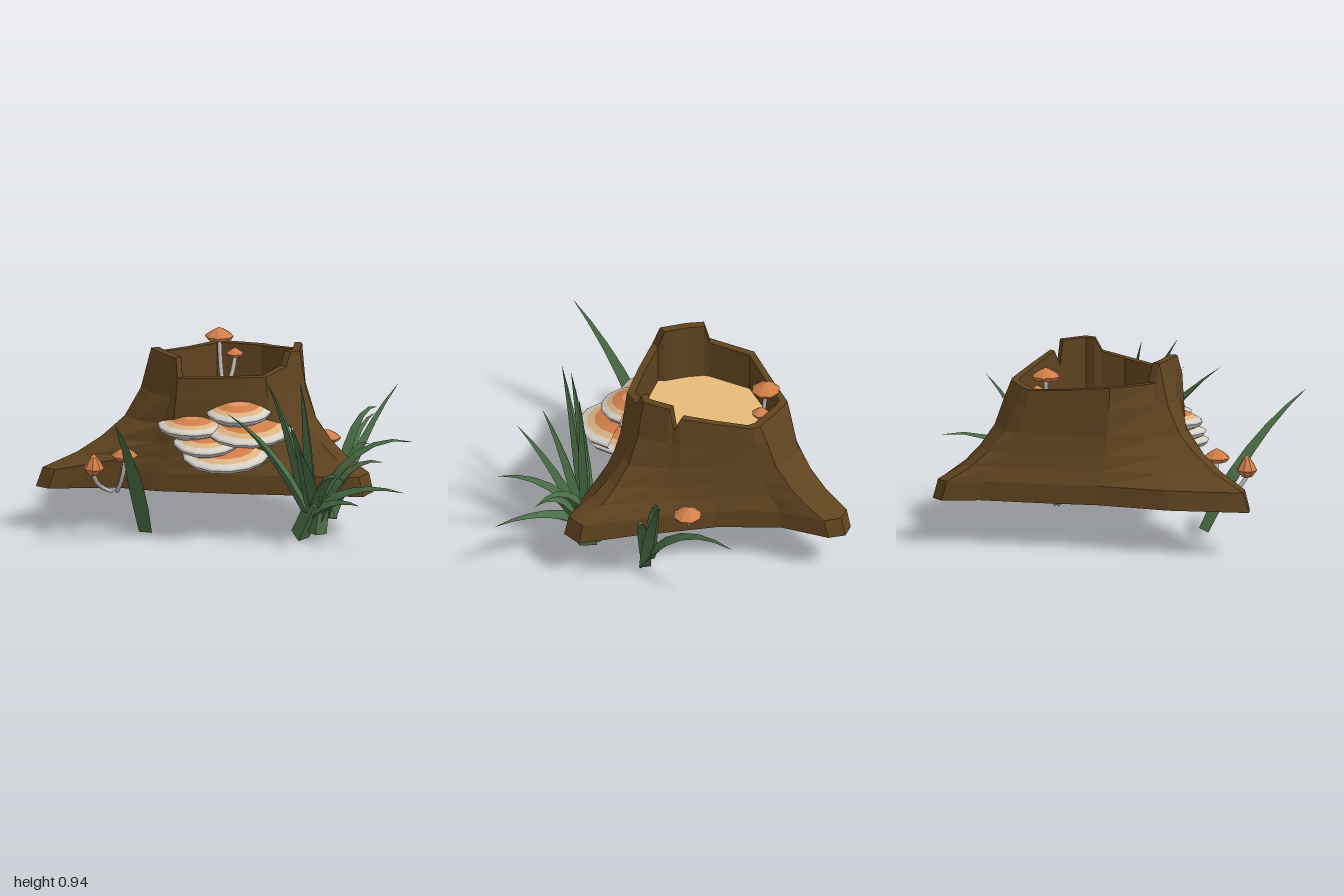
import * as THREE from 'three';

const mat = (name, color) => {
  const m = new THREE.MeshStandardMaterial({ color });
  m.name = name;
  return m;
};
const V = (x, y, z) => new THREE.Vector3(x, y, z);
const lerp = THREE.MathUtils.lerp;

// Flat-faced skin over a list of rings with equal point counts
function loft(rings) {
  const pos = [];
  const tri = (a, b, c) => {
    const area = b.clone().sub(a).cross(c.clone().sub(a)).length();
    if (area > 1e-8) for (const p of [a, b, c]) pos.push(p.x, p.y, p.z);
  };
  for (let r = 0; r < rings.length - 1; r++) {
    const lo = rings[r], hi = rings[r + 1], n = lo.length;
    for (let i = 0; i < n; i++) {
      const j = (i + 1) % n;
      tri(lo[i], lo[j], hi[j]);
      tri(lo[i], hi[j], hi[i]);
    }
  }
  const g = new THREE.BufferGeometry();
  g.setAttribute('position', new THREE.Float32BufferAttribute(pos, 3));
  g.computeVertexNormals();
  return g;
}

// Faceted lathe made of [r, y] profile points, listed from below to the top
function facetedLathe(points, sides, start = 0, sweep = Math.PI * 2) {
  const profile = points.map(p => new THREE.Vector2(...p));
  const g = new THREE.LatheGeometry(profile, sides, start, sweep).toNonIndexed();
  g.computeVertexNormals();
  return g;
}

export function createModel() {
  const model = new THREE.Group();
  const bark = mat('bark brown', 0x5f431f);
  const wood = mat('cut wood tan', 0xe7ba79);
  const green = mat('grass green', 0x4a6f46);
  const orange = mat('cap orange', 0xd17e49);
  const peach = mat('shelf peach', 0xdc9462);
  const sand = mat('shelf sand', 0xdcb483);
  const cream = mat('shelf cream', 0xd6d0c4);
  const grey = mat('gill grey', 0xc4c1be);

  const add = (parent, name, geometry, material) => {
    const m = new THREE.Mesh(geometry, material);
    m.name = name;
    parent.add(m);
    return m;
  };

  // Stump columns: base x, base z, rim x, rim z, rim height
  const columns = [
    [-1, .35, -.425, .12, .95], [-.93, .39, -.37, .2, .95], [-.58, .33, -.275, .3, .95],
    [-.36, .37, -.262, .335, .85], [0, .375, -.03, .3, .85], [.3, .37, .19, .255, .85],
    [.5, .365, .285, .15, .88], [.71, .355, .3, .115, .95], [.75, .25, .345, .08, .95],
    [.54, 0, .34, -.07, .95], [.5, -.06, .335, -.09, .82], [.43, -.15, .33, -.13, .9],
    [.3, -.32, .24, -.29, .86], [.15, -.62, .14, -.45, .82], [.12, -.88, .1, -.475, .82],
    [.06, -.95, 0, -.49, .82], [-.02, -.94, -.1, -.505, .82], [-.1, -.76, -.16, -.5, .82],
    [-.31, -.5, -.29, -.34, .83], [-.48, -.27, -.43, -.17, .85], [-.76, 0, -.432, .09, .85],
  ];
  // Root flare: inward fraction, height above the base
  const flare = [[0, 0], [.06, .1], [.36, .17], [.57, .245], [.77, .345], [.91, .49]];
  const BASE = .25, FLOOR = .635, CX = -.05, CZ = -.09, INNER = .9;
  const flareRings = flare.map(([f, y]) =>
    columns.map(([bx, bz, tx, tz]) => V(lerp(bx, tx, f), BASE + y, lerp(bz, tz, f))));
  const rim = columns.map(c => V(c[2], c[4], c[3]));
  const inset = y => columns.map(c => V(lerp(CX, c[2], INNER), y ?? c[4], lerp(CZ, c[3], INNER)));
  const middle = (x, y, z) => columns.map(() => V(x, y, z));
  add(model, 'stump', loft([middle(0, BASE, 0), ...flareRings, rim, inset(), inset(FLOOR)]), bark);
  add(model, 'cutWood', loft([inset(FLOOR), middle(CX, FLOOR, CZ)]), wood);

  // Half-round shelf fungi: colour bands from the gills up to the centre of the top
  const bands = [
    ['gills', [[0, -.1], [.25, -.09], [.94, -.02], [1, 0], [.96, .008]], grey],
    ['edge', [[.96, .008], [.82, .02]], cream],
    ['paleBand', [[.82, .02], [.66, .033]], sand],
    ['orangeBand', [[.66, .033], [.36, .05]], orange],
    ['crown', [[.36, .05], [0, .058]], peach],
  ];
  const shelves = [
    [.05, .67, .28, .17, .18], [.11, .585, .29, .23, .27], [-.19, .595, .3, .18, .17],
    [-.11, .52, .3, .18, .24], [-.01, .455, .32, .23, .28],
  ];
  for (const [x, y, z, rx, rz] of shelves) {
    const shelf = new THREE.Group();
    shelf.name = 'shelfFungus';
    for (const [name, points, material] of bands) {
      add(shelf, name, facetedLathe(points, 7, -Math.PI / 2, Math.PI), material);
    }
    shelf.position.set(x, y, z);
    shelf.scale.set(rx, 1, rz);
    shelf.rotation.x = .08;
    model.add(shelf);
  }

  // Mushrooms: cap position, radius, cap height, stem foot, lip radius
  const mushrooms = [
    [[-.13, .86, -.39], .075, .065, [-.11, .63, -.36], .85],
    [[-.05, .77, -.4], .045, .045, [-.08, .63, -.36], .85],
    [[.45, .38, -.23], .075, .06, [.36, .27, -.2], .85],
    [[-.53, .425, .4], .07, .07, [-.58, .23, .33], .75],
    [[-.68, .365, .5], .055, .115, [-.61, .23, .33], .5],
  ];
  for (const [cap, r, h, foot, lip] of mushrooms) {
    const mushroom = new THREE.Group();
    mushroom.name = 'mushroom';
    const top = V(...cap), bottom = V(...foot);
    const bend = V(lerp(bottom.x, top.x, .85), lerp(bottom.y, top.y, .45), lerp(bottom.z, top.z, .85));
    add(mushroom, 'stem', new THREE.TubeGeometry(
      new THREE.QuadraticBezierCurve3(bottom, bend, top), 5, .012, 5), grey);
    const outline = [[r * lip, 0], [r, h * .3], [r * .66, h * .6], [r * .28, h * .85], [0, h]];
    add(mushroom, 'cap', facetedLathe(outline, 8), orange).position.copy(top);
    const gills = new THREE.CircleGeometry(r * lip, 8).rotateX(Math.PI / 2);
    add(mushroom, 'capGills', gills, grey).position.copy(top);
    model.add(mushroom);
  }

  // Grass blade: three-sided prism along a curve, tapering to a point
  const widths = [.85, 1, 1, .8, .55, .3, 0];
  function blade(foot, tip, w, rise) {
    const a = V(...foot), c = V(...tip);
    const b = V(lerp(a.x, c.x, .4), lerp(a.y, c.y, rise), lerp(a.z, c.z, .4));
    const curve = new THREE.QuadraticBezierCurve3(a, b, c);
    const side = V(0, 1, 0).cross(V(c.x - a.x, 0, c.z - a.z).normalize());
    const rings = widths.map((k, i) => {
      const t = i / (widths.length - 1), p = curve.getPoint(t);
      const keel = side.clone().cross(curve.getTangent(t)).normalize();
      const at = (s, m) => p.clone().addScaledVector(side, s * w * k).addScaledVector(keel, m * w * k);
      return [at(-.75, .35), at(.75, .35), at(0, -.6)];
    });
    rings.unshift(rings[0].map(() => a.clone()));
    return loft(rings);
  }
  // Tufts: blade half width, then foot and tip of each blade
  const tufts = [
    ['frontBlade', .055, [[[-.42, .04, .38], [-.52, .76, .93]]]],
    ['frontTuft', .042, [
      [[.43, .13, .36], [.04, .78, .71]], [[.42, .13, .34], [.23, .91, .56]],
      [[.45, .13, .35], [.39, .88, .43]], [[.44, .12, .33], [.97, .57, .4]],
      [[.44, .14, .35], [.96, .36, .64]], [[.43, .12, .34], [.66, .45, .77]],
      [[.47, .14, .35], [.42, .62, .78]], [[.44, .13, .36], [.72, .27, .6]],
      [[.49, .12, .37], [.83, .47, .46]], [[.45, .13, .36], [.36, .72, .66]],
    ]],
    ['sideTuft', .042, [
      [[.5, .03, .01], [.66, .43, -.6]], [[.5, .03, 0], [.82, .69, -.26]],
      [[.52, .06, -.03], [.69, .42, -.06]], [[.51, .1, -.04], [.72, .58, -.2]],
    ]],
  ];
  for (const [name, w, blades] of tufts) {
    const tuft = new THREE.Group();
    tuft.name = name;
    for (const [foot, tip] of blades) {
      add(tuft, 'grassBlade', blade(foot, tip, w, tip[1] < .6 ? 1.1 : .65), green);
    }
    model.add(tuft);
  }
  // Thick root ends of the front tuft
  for (const [x, y, z, tiltX, tiltZ] of [[.42, .13, .35, .25, -.4], [.48, .16, .35, -.1, -.1]]) {
    const g = new THREE.CylinderGeometry(.045, .05, .22, 4).scale(1, 1, 1.5).toNonIndexed();
    g.computeVertexNormals();
    const root = add(model, 'tuftRoot', g, green);
    root.position.set(x, y, z);
    root.rotation.set(tiltX, 0, tiltZ);
  }
  return model;
}
